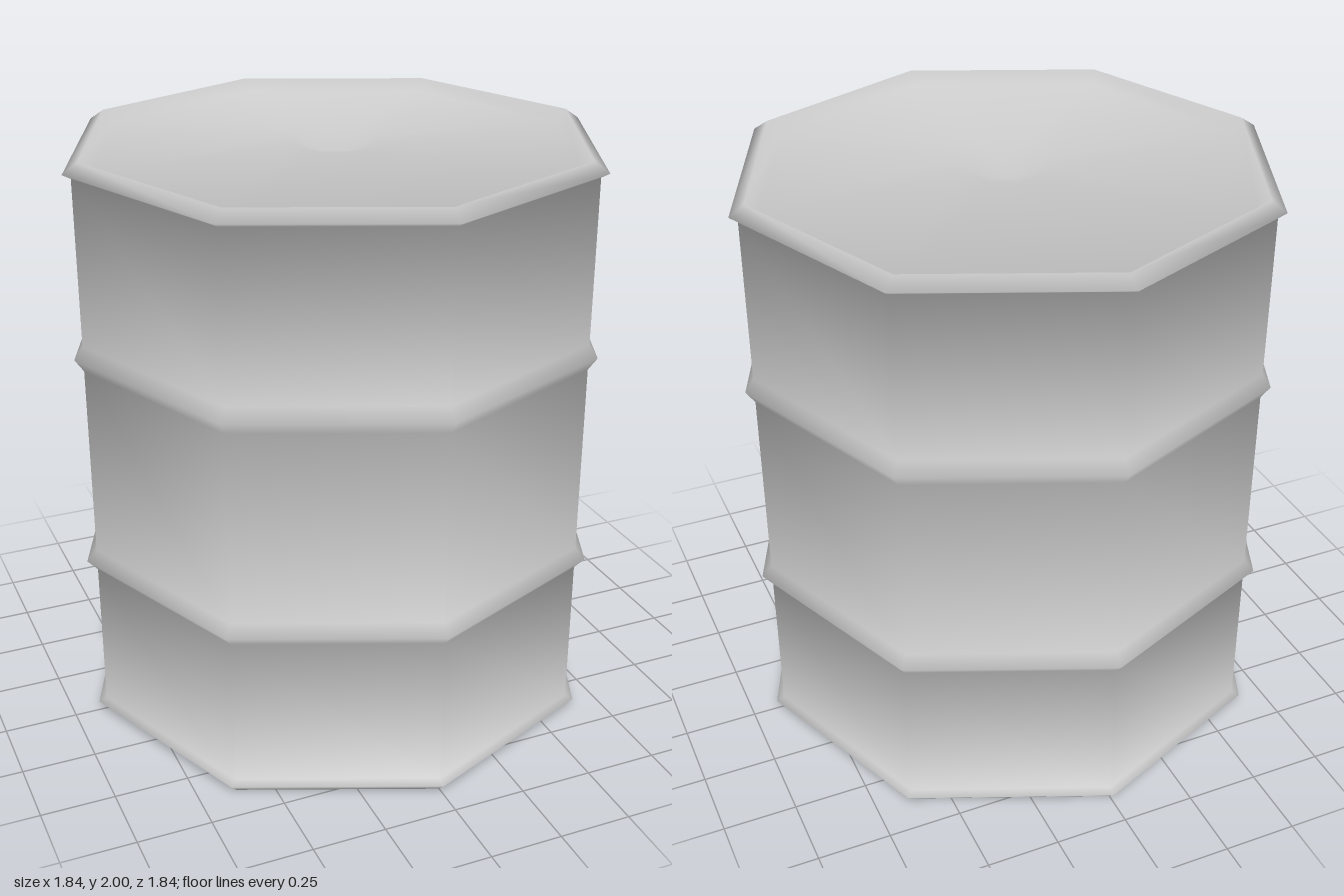
import * as THREE from 'three';

const SIDES = 8;

// Eight-sided revolve whose normals blend evenly across every profile edge
function revolve(profile) {
  const points = profile.map(([r, y]) => new THREE.Vector2(r, y));
  const geometry = new THREE.LatheGeometry(points, SIDES);
  const edges = points.slice(1).map((p, i) => {
    const d = p.clone().sub(points[i]).normalize();
    return new THREE.Vector2(d.y, -d.x);
  });
  const normals = points.map((p, i) => {
    if (p.x === 0) return new THREE.Vector2(0, i === 0 ? -1 : 1);
    const n = new THREE.Vector2();
    if (i > 0) n.add(edges[i - 1]);
    if (i < edges.length) n.add(edges[i]);
    return n.normalize();
  });
  const attribute = geometry.attributes.normal;
  for (let s = 0; s <= SIDES; s++) {
    const a = (s / SIDES) * Math.PI * 2;
    normals.forEach((n, j) => attribute.setXYZ(
      s * points.length + j, n.x * Math.sin(a), n.y, n.x * Math.cos(a)));
  }
  return geometry;
}

// Raised hoop on the body wall
const rib = (y, radius, half) => [[0.885, y - half], [radius, y], [0.885, y + half]];

export function createModel() {
  const group = new THREE.Group();
  group.name = 'barrel';

  const profile = [
    // shallow recessed base and bottom rim
    [0, 0.025], [0.84, 0.025], [0.88, 0], [0.913, 0.033], [0.885, 0.045],
    // wall with two hoops
    ...rib(0.607, 0.92, 0.038),
    ...rib(1.35, 0.915, 0.044),
    // top rim
    [0.885, 1.95], [0.913, 1.965], [0.862, 2],
    // dished lid rising to the lip of the centre hollow
    [0.82, 1.96], [0.15, 1.98], [0, 1.93],
  ];

  const drum = new THREE.Mesh(
    revolve(profile),
    new THREE.MeshStandardMaterial({ color: 0xcccccc }),
  );
  drum.name = 'drum';
  group.add(drum);
  return group;
}
